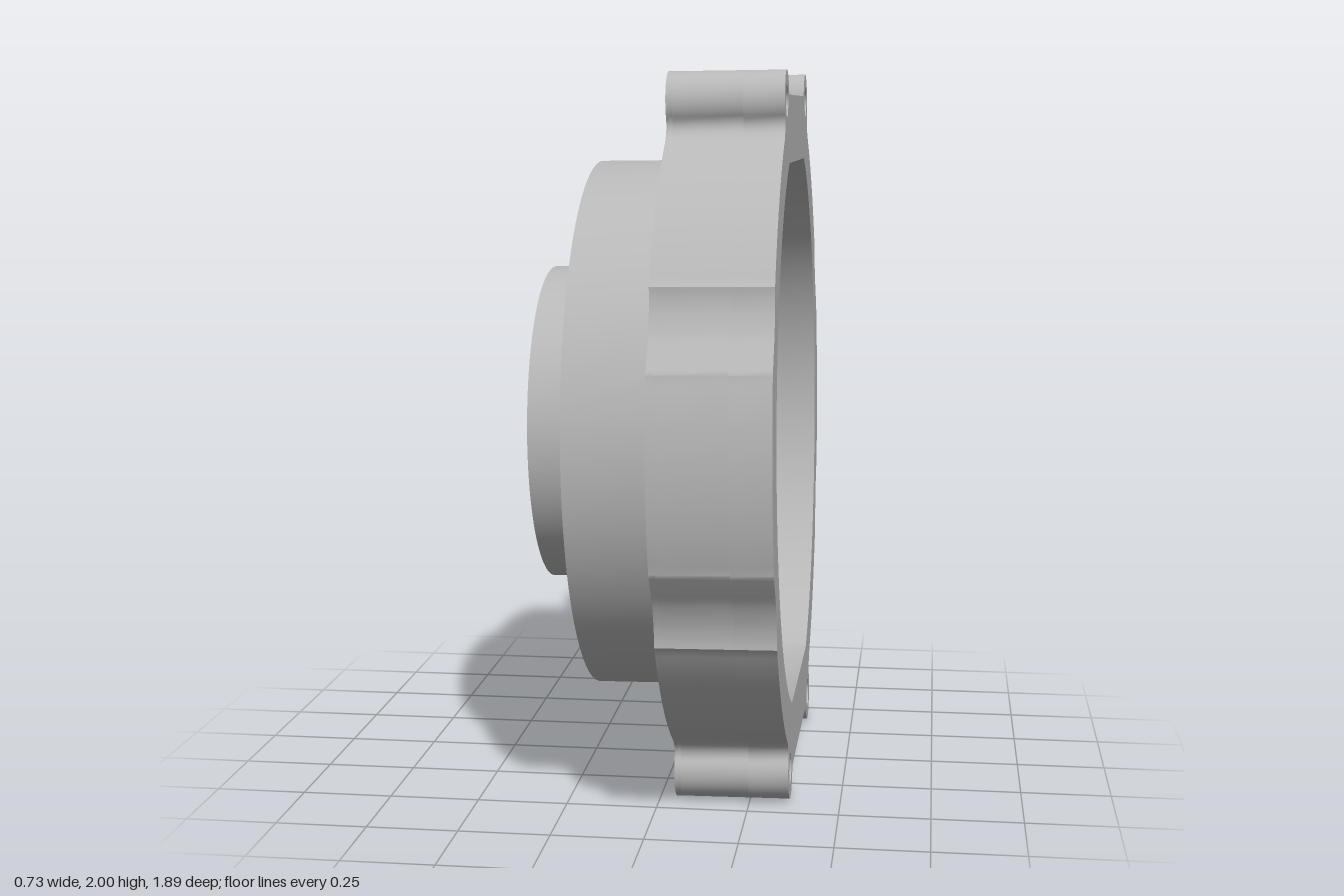
import * as THREE from 'three';
import { toCreasedNormals } from 'three/addons/utils/BufferGeometryUtils.js';

const R = 0.943;          // flange radius
const CAVITY = 0.81;      // cavity radius
const SLOT = 0.3;         // half width of the top and bottom slots
const LUG = { u: 0.38, v: 0.918, r: 0.082, hole: 0.042 };
const FLAT = Math.acos(SLOT / CAVITY); // angle where the cavity meets its flats

const P = (x, y) => new THREE.Vector2(x, y);

function arc(cx, cy, r, a0, a1, n) {
  const pts = [];
  for (let i = 0; i <= n; i++) {
    const a = a0 + (a1 - a0) * i / n;
    pts.push(P(cx + r * Math.cos(a), cy + r * Math.sin(a)));
  }
  return pts;
}

// Outer edge of one quadrant: rim, shallow dent, rim, lug
function quadrant(lugEnd) {
  const dent = new THREE.SplineCurve([
    P(0.909, 0.253), P(0.878, 0.3), P(0.85, 0.343), P(0.83, 0.395), P(0.823, 0.435), P(0.823, 0.462),
  ]).getPoints(16);
  return [
    ...arc(0, 0, R, 0, 0.268, 10), ...dent,
    ...arc(0, 0, R, 0.515, 1.044, 18),
    P(0.457, 0.832), P(0.449, 0.845), P(0.446, 0.858),
    ...arc(LUG.u, LUG.v, LUG.r, -0.6, lugEnd, 24),
  ];
}

// Right half of the edge, from the bottom to the top
function half(upper) {
  const lower = upper.slice(1).reverse().map(p => P(p.x, -p.y));
  return [...lower, ...upper];
}

const mirrored = pts => pts.map(p => P(-p.x, p.y)).reverse();

function circleHole(u, v, r) {
  return new THREE.Path(arc(u, v, r, 0, Math.PI * 2, 28).slice(0, -1));
}

// Extrudes a (z, y) section along x, from x0 to x1
function slab(name, pts, holes, x0, x1, material) {
  const shape = new THREE.Shape(pts);
  shape.holes.push(...holes);
  const geo = new THREE.ExtrudeGeometry(shape, { depth: x1 - x0, bevelEnabled: false });
  geo.rotateY(Math.PI / 2).translate(x0, 0, 0);
  const mesh = new THREE.Mesh(toCreasedNormals(geo, 0.5), material);
  mesh.name = name;
  return mesh;
}

export function createModel() {
  const metal = new THREE.MeshStandardMaterial({ color: 0xb8b8b8 });
  metal.name = 'grey metal';

  const housing = new THREE.Group();
  housing.name = 'housing';

  const lugHoles = sides => sides.flatMap(s => [1, -1].map(t => circleHole(s * LUG.u, t * LUG.v, LUG.hole)));
  const disc = r => arc(0, 0, r, 0, Math.PI * 2, 96).slice(0, -1);

  // Back plate: round between the lugs, its front is the cavity floor
  const backHalf = half([...quadrant(3.43), ...arc(0, 0, R, 1.26, Math.PI / 2 - 0.02, 10)]);
  housing.add(slab('backPlate', [...backHalf, ...mirrored(backHalf)], lugHoles([1, -1]), 0.033, 0.05, metal));

  // Side walls, leaving the slots open at top and bottom
  const flatHalf = half(quadrant(2.93));
  const inner = arc(0, 0, CAVITY, FLAT, -FLAT, 72);
  const wall = [...flatHalf, ...inner];
  housing.add(slab('leftWall', wall, lugHoles([1]), 0.05, 0.238, metal));
  housing.add(slab('rightWall', mirrored(wall), lugHoles([-1]), 0.05, 0.238, metal));

  // Front plate with a flat-sided opening
  const opening = new THREE.Path([...inner, ...mirrored(inner)]);
  housing.add(slab('frontPlate', [...flatHalf, ...mirrored(flatHalf)],
    [opening, ...lugHoles([1, -1])], 0.238, 0.348, metal));

  // Rounded slot corners: concave fillets running along y
  function slotCorner(x, dir, side, end, r) {
    const z = side * SLOT;
    const curve = arc(x + dir * r, z - side * r, r, dir > 0 ? Math.PI : 0,
      side * Math.PI / 2 + (side < 0 && dir > 0 ? 2 * Math.PI : 0), 12);
    const shape = new THREE.Shape([P(x, z), ...curve].map(p => P(p.x, -p.y)));
    const geo = new THREE.ExtrudeGeometry(shape, { depth: 0.145, bevelEnabled: false });
    geo.rotateX(-Math.PI / 2).translate(0, end > 0 ? 0.757 : -0.902, 0);
    const mesh = new THREE.Mesh(toCreasedNormals(geo, 0.5), metal);
    mesh.name = 'slotCorner';
    housing.add(mesh);
  }
  for (const side of [1, -1]) for (const end of [1, -1]) {
    slotCorner(0.05, 1, side, end, 0.08);
    slotCorner(0.238, -1, side, end, 0.03);
  }

  // Stepped round back with two blind holes
  housing.add(slab('middleDisc', disc(0.757), [], -0.213, 0.033, metal));
  housing.add(slab('smallDisc', disc(0.453),
    [circleHole(-0.274, 0.105, 0.042), circleHole(-0.115, -0.273, 0.042)], -0.36, -0.213, metal));

  // The whole part leans back very slightly
  housing.rotation.z = 0.0128;
  housing.position.y = 1.002;

  const model = new THREE.Group();
  model.name = 'roundHousing';
  model.add(housing);
  return model;
}
